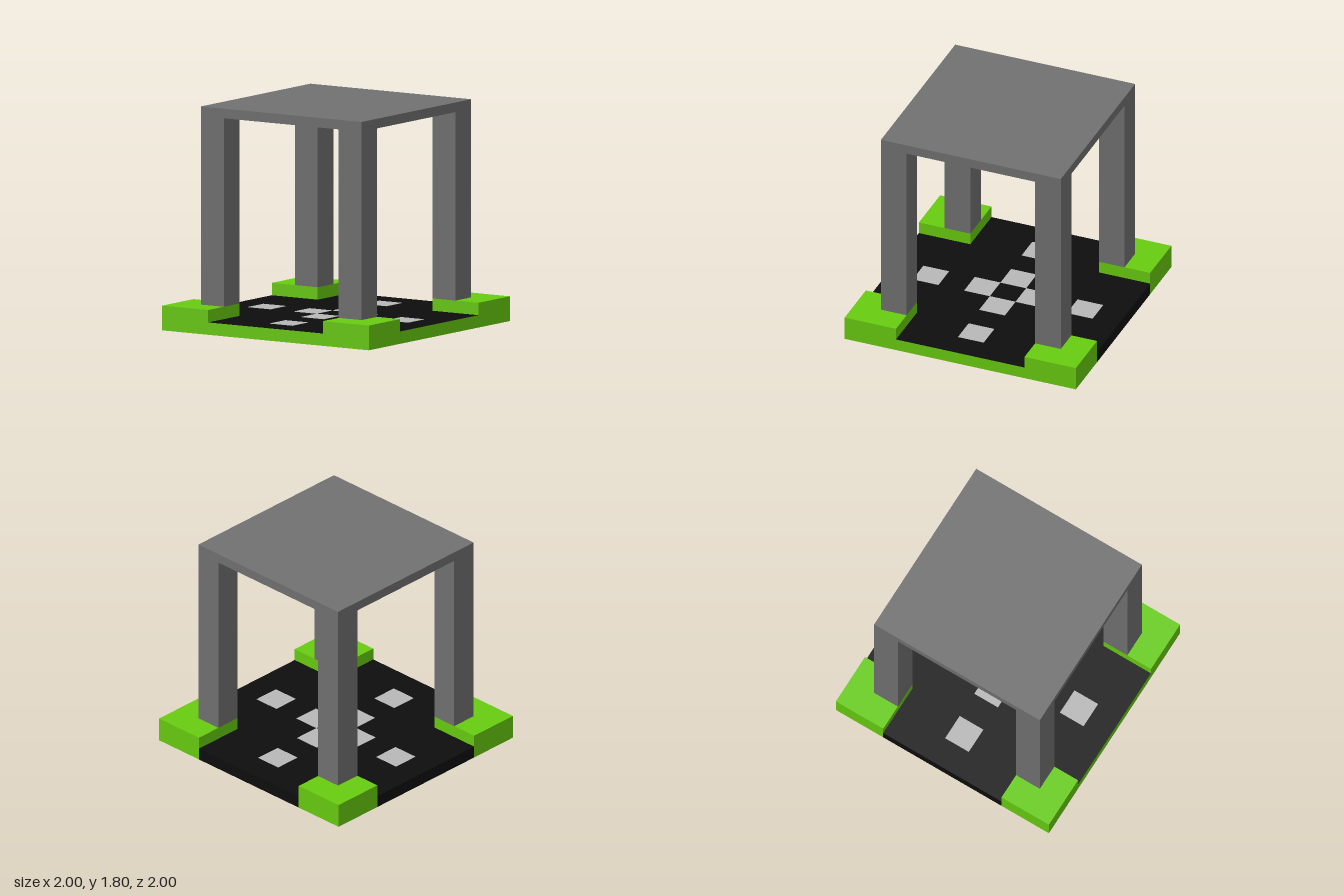
import * as THREE from 'three';

const C = 2 / 9; // the plan is a 9 x 9 grid of cells
const paint = (color) => new THREE.MeshStandardMaterial({ color });

export function createModel() {
  const group = new THREE.Group();
  const green = paint(0x68cc10), black = paint(0x0d0d0d);
  const grey = paint(0x717171), light = paint(0xb8b8b8);

  // box spanning y0..y1, centred on x, z
  function box(name, material, w, d, y0, y1, x, z) {
    const mesh = new THREE.Mesh(new THREE.BoxGeometry(w, y1 - y0, d), material);
    mesh.name = name;
    mesh.position.set(x, (y0 + y1) / 2, z);
    group.add(mesh);
  }

  // cross-shaped floor: black top, back and -x edge; green front, +x edge and underside
  const floorFaces = [green, black, black, green, green, black];
  box('floorMiddle', floorFaces, 2, 5 * C, 0, 0.1, 0, 0);
  for (const s of [-1, 1]) box('floorEnd', floorFaces, 5 * C, 2 * C, 0, 0.1, 0, s * 3.5 * C);

  // corner blocks, each carrying a pillar on its inner cell
  const roofBottom = 1.722;
  for (const sx of [-1, 1]) {
    for (const sz of [-1, 1]) {
      box('cornerBlock', green, 2 * C, 2 * C, 0, 0.2, sx * 3.5 * C, sz * 3.5 * C);
      box('pillar', grey, C, C, 0.2, roofBottom, sx * 3 * C, sz * 3 * C);
    }
  }

  // flat roof slab
  box('roof', grey, 7 * C, 7 * C, roofBottom, 1.8, 0, 0);

  // light floor tiles, one and three cells out from the middle on each axis
  for (const n of [-3, -1, 1, 3]) {
    box('floorTile', light, C, C, 0.1, 0.102, n * C, 0);
    box('floorTile', light, C, C, 0.1, 0.102, 0, n * C);
  }
  return group;
}
